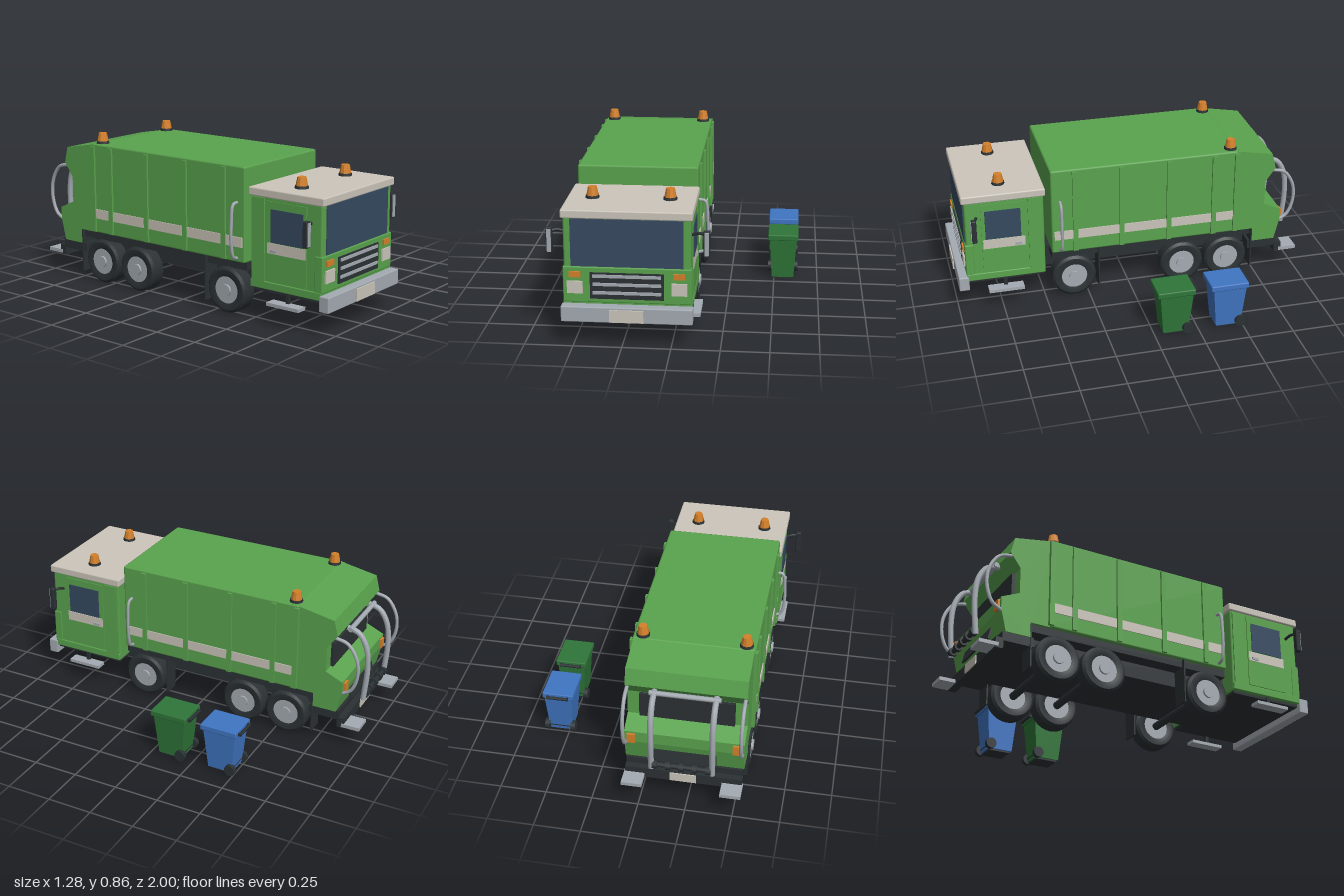
import * as THREE from 'three';
import { RoundedBoxGeometry } from 'three/addons/geometries/RoundedBoxGeometry.js';
import { toCreasedNormals } from 'three/addons/utils/BufferGeometryUtils.js';

const paint = (name, color) => {
  const m = new THREE.MeshStandardMaterial({ color });
  m.name = name;
  return m;
};

export function createModel() {
  const green = paint('bodyGreen', 0x5aa34e);
  const cream = paint('cream', 0xccc6bb);
  const grey = paint('metalGrey', 0xa4abb2);
  const dark = paint('charcoal', 0x2b3134);
  const glass = paint('windowBlue', 0x364a61);
  const orange = paint('lampOrange', 0xd5812a);
  const binGreen = paint('binGreen', 0x2f7639);
  const blue = paint('binBlue', 0x4076c4);

  const model = new THREE.Group();
  model.name = 'refuseTruckAndBins';
  const truck = new THREE.Group();
  truck.name = 'truck';
  truck.position.x = -0.225;
  model.add(truck);

  const add = (parent, name, geo, mat, x = 0, y = 0, z = 0) => {
    const m = new THREE.Mesh(geo, mat);
    m.name = name;
    m.position.set(x, y, z);
    parent.add(m);
    return m;
  };
  // Box given by its limits on each axis; r rounds the edges
  const box = (parent, name, mat, [x0, x1], [y0, y1], [z0, z1], r = 0) => {
    const s = [x1 - x0, y1 - y0, z1 - z0];
    const geo = r ? new RoundedBoxGeometry(...s, 1, r) : new THREE.BoxGeometry(...s);
    return add(parent, name, geo, mat, (x0 + x1) / 2, (y0 + y1) / 2, (z0 + z1) / 2);
  };
  // Mirrored box: x limits are distances out from the centre line
  const pair = (name, mat, [a, b], ys, zs, r = 0) => {
    box(truck, name + 'Left', mat, [a, b], ys, zs, r);
    box(truck, name + 'Right', mat, [-b, -a], ys, zs, r);
  };
  const tube = (parent, name, mat, pts, r) => add(parent, name, new THREE.TubeGeometry(
    new THREE.CatmullRomCurve3(pts.map(p => new THREE.Vector3(...p))), 24, r, 8), mat);
  // Cylinder lying along x
  const axle = (parent, name, mat, r, len, x, y, z, sides = 20) =>
    add(parent, name, new THREE.CylinderGeometry(r, r, len, sides).rotateZ(Math.PI / 2), mat, x, y, z);

  // Chassis
  box(truck, 'chassis', dark, [-0.22, 0.22], [0.165, 0.29], [-0.74, 0.52]);
  pair('sideSkirt', dark, [0.2, 0.3], [0.25, 0.292], [-0.72, 0.46]);
  box(truck, 'cabFloor', dark, [-0.31, 0.31], [0.165, 0.2], [0.51, 0.935]);

  // Cab shell, roof and base trim
  box(truck, 'cab', green, [-0.322, 0.322], [0.18, 0.67], [0.5, 0.94], 0.01);
  box(truck, 'cabRoof', cream, [-0.332, 0.332], [0.665, 0.71], [0.49, 0.955], 0.008);
  box(truck, 'cabSill', green, [-0.329, 0.329], [0.183, 0.225], [0.502, 0.943], 0.005);
  box(truck, 'lowerFrontPanel', green, [-0.327, 0.327], [0.22, 0.41], [0.9, 0.948], 0.006);
  pair('cabRearPillar', green, [0.318, 0.329], [0.22, 0.66], [0.51, 0.59]);
  box(truck, 'windscreen', glass, [-0.285, 0.285], [0.412, 0.662], [0.938, 0.945]);

  // Doors
  pair('door', green, [0.318, 0.327], [0.23, 0.65], [0.605, 0.85]);
  pair('doorWindow', glass, [0.326, 0.331], [0.437, 0.61], [0.632, 0.83]);
  pair('doorStripe', cream, [0.326, 0.33], [0.378, 0.434], [0.61, 0.845]);
  pair('doorHandle', grey, [0.328, 0.336], [0.385, 0.4], [0.63, 0.668]);

  // Grille, lamps and front bumper
  box(truck, 'grille', dark, [-0.188, 0.188], [0.243, 0.383], [0.945, 0.954]);
  for (const y of [0.277, 0.322, 0.366]) {
    box(truck, 'grilleSlat', grey, [-0.174, 0.174], [y - 0.008, y + 0.008], [0.95, 0.96]);
  }
  pair('headlight', cream, [0.225, 0.305], [0.27, 0.335], [0.946, 0.957]);
  pair('frontIndicator', orange, [0.235, 0.295], [0.356, 0.386], [0.946, 0.957]);
  box(truck, 'frontBumper', grey, [-0.335, 0.335], [0.128, 0.212], [0.935, 0.993], 0.006);
  box(truck, 'frontNumberPlate', cream, [-0.087, 0.087], [0.134, 0.2], [0.992, 1.0]);
  pair('cabStep', grey, [0.3, 0.362], [0.11, 0.128], [0.63, 0.83]);
  pair('cabStepPost', dark, [0.302, 0.32], [0.125, 0.19], [0.72, 0.74]);

  // Hopper body with ribs and reflective stripe
  box(truck, 'hopperBody', green, [-0.322, 0.322], [0.292, 0.803], [-0.62, 0.46], 0.01);
  for (const z of [0.325, 0.06, -0.215, -0.48, -0.612]) {
    pair('bodyRib', green, [0.315, 0.334], [0.3, 0.79], [z - 0.014, z + 0.014]);
  }
  pair('bodyStripe', cream, [0.32, 0.327], [0.376, 0.43], [-0.605, 0.445]);

  // Tailgate extruded across the width from its side profile (z, y)
  const profile = [[-0.61, 0.8], [-0.825, 0.76], [-0.848, 0.67], [-0.79, 0.59], [-0.79, 0.445],
    [-0.89, 0.4], [-0.89, 0.335], [-0.86, 0.21], [-0.72, 0.21], [-0.72, 0.292], [-0.61, 0.292]];
  const gate = new THREE.ExtrudeGeometry(new THREE.Shape(profile.map(p => new THREE.Vector2(...p))),
    { depth: 0.63, bevelEnabled: false }).translate(0, 0, -0.315).rotateY(-Math.PI / 2);
  add(truck, 'tailgate', gate, green);
  box(truck, 'hopperOpening', dark, [-0.25, 0.25], [0.447, 0.588], [-0.808, -0.785]);
  const apron = box(truck, 'loadingPanel', dark, [-0.17, 0.17], [0.225, 0.32], [-0.885, -0.875]);
  apron.rotation.x = 0.23;
  pair('rearLamp', orange, [0.255, 0.3], [0.335, 0.39], [-0.903, -0.885]);

  // Rear bumper, plate and footboards
  box(truck, 'rearBumper', dark, [-0.31, 0.31], [0.16, 0.212], [-0.875, -0.7]);
  box(truck, 'rearCrossbar', dark, [-0.31, 0.31], [0.115, 0.175], [-0.91, -0.868]);
  box(truck, 'rearNumberPlate', cream, [-0.07, 0.07], [0.12, 0.17], [-0.916, -0.908]);
  pair('footboard', grey, [0.205, 0.315], [0.122, 0.142], [-1.0, -0.895]);

  // Bin lifter frame
  const lifter = new THREE.Group();
  lifter.name = 'binLifter';
  truck.add(lifter);
  axle(lifter, 'lifterTopBar', grey, 0.014, 0.37, 0, 0.655, -0.868, 10);
  axle(lifter, 'lifterRail', dark, 0.014, 0.33, 0, 0.262, -0.96, 10);
  for (let i = -2; i <= 2; i++) axle(lifter, 'lifterRoller', dark, 0.024, 0.026, i * 0.07, 0.262, -0.96, 10);

  // Mirrored rails, mirrors and lifter arms
  for (const s of [-1, 1]) {
    tube(lifter, 'lifterArm', grey, [[s * 0.16, 0.655, -0.845], [s * 0.16, 0.635, -0.91],
      [s * 0.16, 0.56, -0.957], [s * 0.16, 0.44, -0.972], [s * 0.16, 0.235, -0.958]], 0.016);
    tube(truck, 'rearGrabRail', grey, [[s * 0.305, 0.655, -0.835], [s * 0.305, 0.635, -0.905],
      [s * 0.305, 0.55, -0.96], [s * 0.305, 0.45, -0.968], [s * 0.305, 0.36, -0.935],
      [s * 0.305, 0.325, -0.88]], 0.01);
    tube(truck, 'sideGrabRail', grey, [[s * 0.32, 0.612, 0.41], [s * 0.355, 0.605, 0.41],
      [s * 0.37, 0.5, 0.41], [s * 0.37, 0.4, 0.41], [s * 0.352, 0.325, 0.41], [s * 0.32, 0.315, 0.41]], 0.009);
    tube(truck, 'mirrorArm', dark, [[s * 0.32, 0.572, 0.875], [s * 0.36, 0.584, 0.885],
      [s * 0.395, 0.58, 0.9]], 0.008);
    box(truck, 'mirrorHousing', dark, [s * 0.398 - 0.016, s * 0.398 + 0.016], [0.466, 0.602], [0.885, 0.913], 0.006);
    box(truck, 'mirrorFace', grey, [s * 0.398 - 0.011, s * 0.398 + 0.011], [0.474, 0.595], [0.912, 0.917]);
  }

  // Wheels: tyre profile (radius, width), hub disc and cap
  const tyreGeo = toCreasedNormals(new THREE.LatheGeometry([[0.06, -0.035], [0.082, -0.046], [0.112, -0.046],
    [0.126, -0.034], [0.126, 0.034], [0.112, 0.046], [0.082, 0.046], [0.06, 0.035]]
    .map(p => new THREE.Vector2(...p)), 28), 0.6).rotateZ(Math.PI / 2);
  for (const z of [0.335, -0.3, -0.565]) {
    axle(truck, 'axle', dark, 0.022, 0.5, 0, 0.127, z, 12);
    for (const s of [-1, 1]) {
      add(truck, 'tyre', tyreGeo, dark, s * 0.274, 0.127, z);
      axle(truck, 'hub', grey, 0.083, 0.084, s * 0.274, 0.127, z, 12);
      axle(truck, 'hubCap', grey, 0.032, 0.016, s * 0.32, 0.127, z, 10);
    }
  }
  for (const z of [0.19, -0.72]) pair('mudflap', dark, [0.222, 0.318], [0.045, 0.292], [z - 0.004, z + 0.004]);

  // Warning beacons
  const lampGeo = toCreasedNormals(new THREE.CylinderGeometry(0.023, 0.032, 0.046, 10), 0.3);
  for (const [x, y, z] of [[0.2, 0.71, 0.73], [0.27, 0.803, -0.585]]) {
    for (const s of [-1, 1]) {
      add(truck, 'beaconBase', new THREE.CylinderGeometry(0.034, 0.037, 0.014, 12), dark, s * x, y + 0.007, z);
      add(truck, 'beaconLamp', lampGeo, orange, s * x, y + 0.036, z);
    }
  }

  // Wheeled bins: tapered tub, lid, handle and wheels
  const makeBin = (name, mat, z) => {
    const bin = new THREE.Group();
    bin.name = name;
    bin.position.set(0.55, 0, z);
    model.add(bin);
    const tub = new THREE.BoxGeometry(0.156, 0.235, 0.185);
    const p = tub.attributes.position;
    for (let i = 0; i < p.count; i++) {
      if (p.getY(i) < 0) p.setXYZ(i, p.getX(i) * 0.8, p.getY(i), p.getZ(i) * 0.76);
    }
    tub.computeVertexNormals();
    add(bin, 'tub', tub, mat, 0, 0.1275, 0);
    box(bin, 'tubFoot', dark, [-0.055, 0.055], [0, 0.012], [-0.065, 0.06]);
    box(bin, 'lid', mat, [-0.087, 0.087], [0.243, 0.277], [-0.104, 0.108], 0.006);
    axle(bin, 'handle', dark, 0.009, 0.12, 0, 0.258, -0.114, 10);
    for (const s of [-1, 1]) {
      box(bin, 'handleBracket', dark, [s * 0.055 - 0.006, s * 0.055 + 0.006], [0.25, 0.266], [-0.116, -0.095]);
      axle(bin, 'binWheel', dark, 0.031, 0.026, s * 0.073, 0.033, -0.066, 18);
    }
    axle(bin, 'binAxle', dark, 0.008, 0.14, 0, 0.033, -0.066, 8);
  };
  makeBin('greenBin', binGreen, -0.118);
  makeBin('blueBin', blue, -0.418);

  return model;
}
